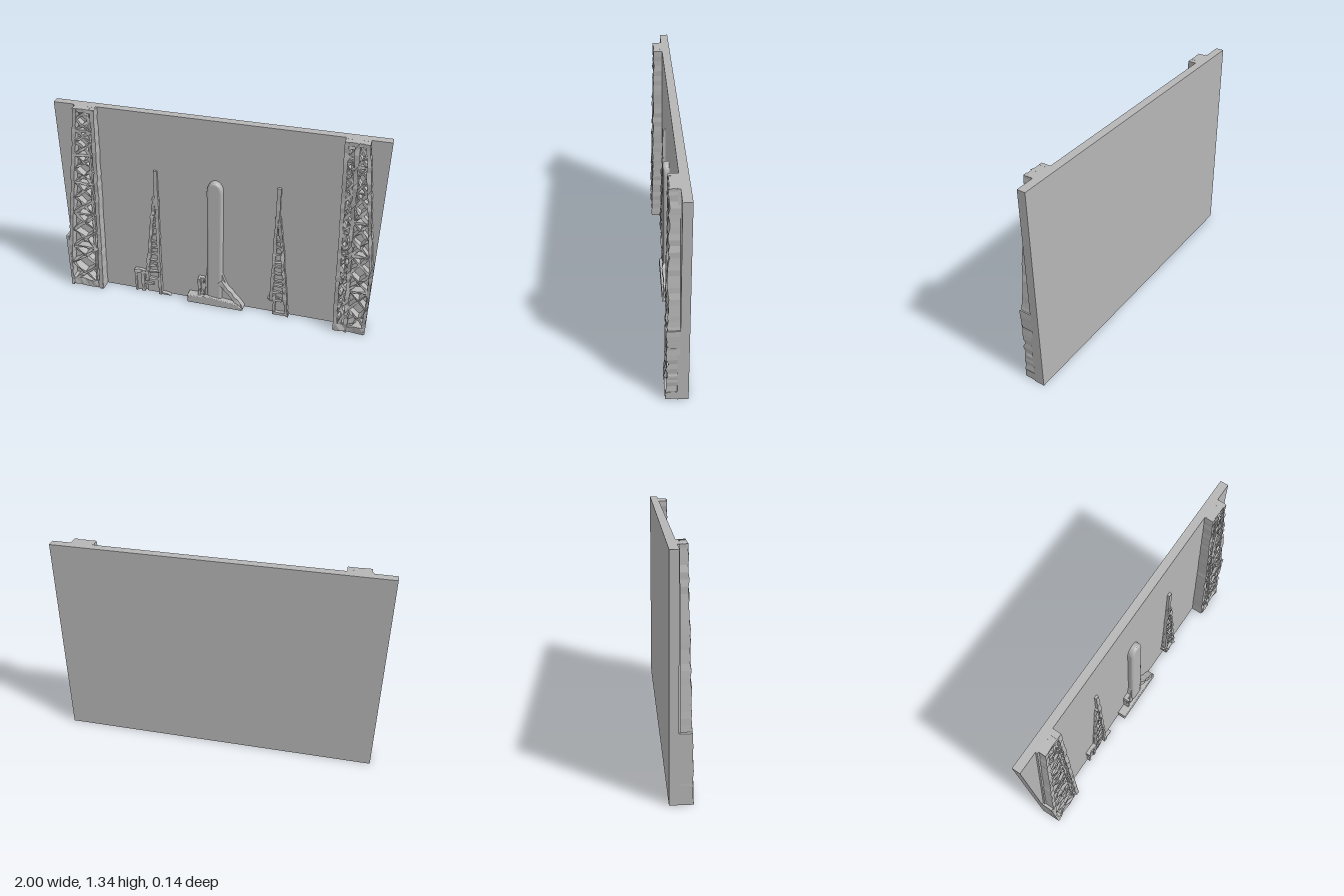
import * as THREE from 'three';

const H = 1.335, BACK = -0.07, FACE = -0.02;

export function createModel() {
  const model = new THREE.Group();
  model.name = 'launchPadRelief';
  const stone = new THREE.MeshStandardMaterial({ color: 0xb6b6b6, flatShading: true });
  stone.name = 'plain grey';

  let seed = 7;
  const rand = () => (seed = (seed * 16807) % 2147483647) / 2147483647;
  const lerp = THREE.MathUtils.lerp;

  const group = (name) => {
    const g = new THREE.Group();
    g.name = name;
    model.add(g);
    return g;
  };
  const add = (parent, name, geometry) => {
    const mesh = new THREE.Mesh(geometry, stone);
    mesh.name = name;
    parent.add(mesh);
  };

  // Flat outline raised from the slab face to the given front z
  const raise = (parent, name, points, front, bevel = 0) => {
    const shape = new THREE.Shape(points.map(([x, y]) => new THREE.Vector2(x, y)));
    const geo = new THREE.ExtrudeGeometry(shape, {
      depth: front - FACE + 0.005 - bevel, bevelEnabled: bevel > 0,
      bevelSize: bevel, bevelThickness: bevel, bevelOffset: -bevel, bevelSegments: 3,
    });
    geo.translate(0, 0, FACE - 0.005);
    add(parent, name, geo);
  };

  // Rough bar from a to b, raised to depth(y) with worn edges
  const bar = (parent, name, a, b, width, depth, rough = 0.005) => {
    const len = Math.hypot(b[0] - a[0], b[1] - a[1]);
    const n = Math.max(2, Math.round(len / 0.035));
    const nx = -(b[1] - a[1]) / len, ny = (b[0] - a[0]) / len;
    const geo = new THREE.BoxGeometry(1, 1, 1, 1, n, 1);
    const p = geo.attributes.position;
    const wear = Array.from({ length: (n + 1) * 4 }, () => rand() - 0.5);
    for (let i = 0; i < p.count; i++) {
      const t = p.getY(i) + 0.5, side = p.getX(i), front = p.getZ(i) > 0;
      const k = Math.round(t * n) * 4 + (side > 0 ? 2 : 0);
      const off = -side * width + wear[k] * rough;
      const x = THREE.MathUtils.clamp(lerp(a[0], b[0], t) + nx * off, -1, 1);
      const y = THREE.MathUtils.clamp(lerp(a[1], b[1], t) + ny * off, 0, H);
      p.setXYZ(i, x, y, front ? depth(y) + wear[k + 1] * rough * 1.6 : FACE - 0.005);
    }
    geo.computeVertexNormals();
    add(parent, name, geo);
  };

  // Backing slab
  const slab = new THREE.BoxGeometry(2, H, FACE - BACK);
  slab.translate(0, H / 2, (BACK + FACE) / 2);
  add(model, 'slab', slab);

  // Large lattice towers at the sides; edges are [x at bottom, x at top]
  const tall = (y) => lerp(0.057, 0.033, y / H);
  const brace = (y) => tall(y) - 0.008;
  const at = (edge, y) => lerp(edge[0], edge[1], y / H);
  const lattice = (g, left, right, bays) => {
    let y = 0.03;
    for (let i = 0; i < bays; i++) {
      const top = Math.min(H - 0.01, y + lerp(1.4, 0.6, i / (bays - 1)) * (H - 0.04) / bays);
      const l0 = [at(left, y), y], r0 = [at(right, y), y];
      const l1 = [at(left, top), top], r1 = [at(right, top), top];
      bar(g, 'diagonalBrace', l0, r1, 0.017, brace, 0.009);
      bar(g, 'diagonalBrace', r0, l1, 0.017, brace, 0.009);
      if (i % 2 === 0) bar(g, 'crossBeam', l0, r0, 0.014, brace, 0.008);
      y = top;
    }
  };

  const leftTower = group('leftTower');
  raise(leftTower, 'towerPanel',
    [[-1, 0], [-0.77, 0], [-0.73, H], [-0.87, H], [-1, 0.3]], -0.008);
  bar(leftTower, 'innerChord', [-0.78, 0], [-0.735, H], 0.024, tall);
  bar(leftTower, 'innerRib', [-0.815, 0], [-0.765, H], 0.014, brace);
  bar(leftTower, 'outerChord', [-1, 0.12], [-0.845, H], 0.024, tall);
  bar(leftTower, 'outerEdge', [-0.99, 0], [-0.99, 0.4], 0.02, tall);
  bar(leftTower, 'foot', [-1, 0.035], [-0.77, 0.035], 0.06, tall, 0.012);
  bar(leftTower, 'topBeam', [-0.86, H - 0.012], [-0.73, H - 0.012], 0.024, tall, 0.003);
  lattice(leftTower, [-0.99, -0.84], [-0.8, -0.75], 12);

  const rightTower = group('rightTower');
  raise(rightTower, 'towerPanel',
    [[0.8, 0], [1, 0], [1, 0.35], [0.885, H], [0.75, H]], -0.006);
  bar(rightTower, 'innerChord', [0.81, 0], [0.757, H], 0.024, tall);
  bar(rightTower, 'middleChord', [0.875, 0], [0.815, H], 0.024, tall, 0.01);
  bar(rightTower, 'outerChord', [0.995, 0.4], [0.872, H], 0.022, tall, 0.009);
  bar(rightTower, 'outerEdge', [0.99, 0], [0.99, 0.52], 0.02, tall, 0.012);
  bar(rightTower, 'foot', [0.81, 0.03], [1, 0.03], 0.05, tall, 0.012);
  bar(rightTower, 'topBeam', [0.75, H - 0.012], [0.885, H - 0.012], 0.024, tall, 0.003);
  lattice(rightTower, [0.88, 0.82], [1.03, 0.87], 12);
  lattice(rightTower, [0.815, 0.76], [0.865, 0.81], 18);

  // Central rocket with rounded nose
  const rocket = group('rocket');
  const body = [[-0.045, 0], [0.055, 0]];
  for (let i = 0; i <= 14; i++) {
    const a = (i / 14) * Math.PI;
    body.push([0.005 + 0.05 * Math.cos(a), 0.87 + 0.072 * Math.sin(a)]);
  }
  raise(rocket, 'body', body, 0.018, 0.016);
  raise(rocket, 'launchBase',
    [[-0.175, 0], [0.2, 0], [0.17, 0.045], [-0.03, 0.07], [-0.1, 0.06], [-0.175, 0.058]], 0.034, 0.006);
  raise(rocket, 'leftFin', [[-0.105, 0.04], [-0.04, 0.04], [-0.04, 0.3], [-0.06, 0.2], [-0.105, 0.2]], 0.005);
  bar(rocket, 'leftClamp', [-0.095, 0.05], [-0.095, 0.2], 0.018, () => 0.02, 0.008);
  bar(rocket, 'leftStrut', [-0.065, 0.06], [-0.065, 0.19], 0.016, () => 0.014, 0.01);
  raise(rocket, 'rightFin', [[0.03, 0.03], [0.17, 0.03], [0.1, 0.13], [0.055, 0.25]], 0.002);
  bar(rocket, 'rightStrut', [0.045, 0.2], [0.195, 0.01], 0.03, () => 0.024, 0.01);

  // Small service towers beside the rocket
  const low = (y) => lerp(0.012, -0.003, y / 0.95);
  const spire = (name, mastX, wall, slope, panel) => {
    const g = group(name);
    raise(g, 'towerPanel', panel, -0.011);
    bar(g, 'mast', [mastX, 0.7], [mastX, 0.955], 0.024, low, 0.003);
    bar(g, 'straightLeg', wall[0], wall[1], 0.02, low);
    bar(g, 'slopedLeg', slope[0], slope[1], 0.02, low, 0.009);
    for (let i = 0; i < 12; i++) {
      const y = 0.13 + i * 0.05;
      const t = (y - slope[0][1]) / (slope[1][1] - slope[0][1]);
      bar(g, 'rung', [lerp(slope[0][0], slope[1][0], t), y], [wall[0][0], y + (i % 3 - 1) * 0.01],
        0.014, (v) => low(v) - 0.003, 0.007);
    }
    return g;
  };

  const leftSpire = spire('leftServiceTower', -0.375,
    [[-0.375, 0], [-0.372, 0.75]], [[-0.465, 0.1], [-0.392, 0.76]],
    [[-0.47, 0], [-0.365, 0], [-0.365, 0.75], [-0.4, 0.75], [-0.47, 0.2]]);
  raise(leftSpire, 'shed', [[-0.55, 0], [-0.49, 0], [-0.49, 0.17], [-0.55, 0.16]], -0.008);
  bar(leftSpire, 'shedPost', [-0.545, 0], [-0.545, 0.165], 0.014, () => 0.002);
  bar(leftSpire, 'shedPost', [-0.495, 0], [-0.495, 0.17], 0.018, () => 0.004);
  bar(leftSpire, 'shedRoof', [-0.55, 0.16], [-0.45, 0.17], 0.025, () => 0.006, 0.01);
  bar(leftSpire, 'shedBeam', [-0.5, 0.075], [-0.42, 0.075], 0.016, () => 0.004);
  raise(leftSpire, 'groundStrip', [[-0.37, 0], [-0.3, 0], [-0.32, 0.01], [-0.37, 0.016]], 0.004);

  const rightSpire = spire('rightServiceTower', 0.396,
    [[0.383, 0.11], [0.391, 0.75]], [[0.49, 0], [0.41, 0.74]],
    [[0.4, 0], [0.5, 0], [0.415, 0.76], [0.385, 0.76], [0.37, 0.11], [0.4, 0.1]]);
  bar(rightSpire, 'footLedge', [0.362, 0.12], [0.45, 0.12], 0.025, () => 0.006, 0.01);
  bar(rightSpire, 'lowerLeg', [0.405, 0], [0.405, 0.16], 0.018, () => 0.006);
  bar(rightSpire, 'lowerBeam', [0.4, 0.012], [0.5, 0.012], 0.022, () => 0.01);

  return model;
}
